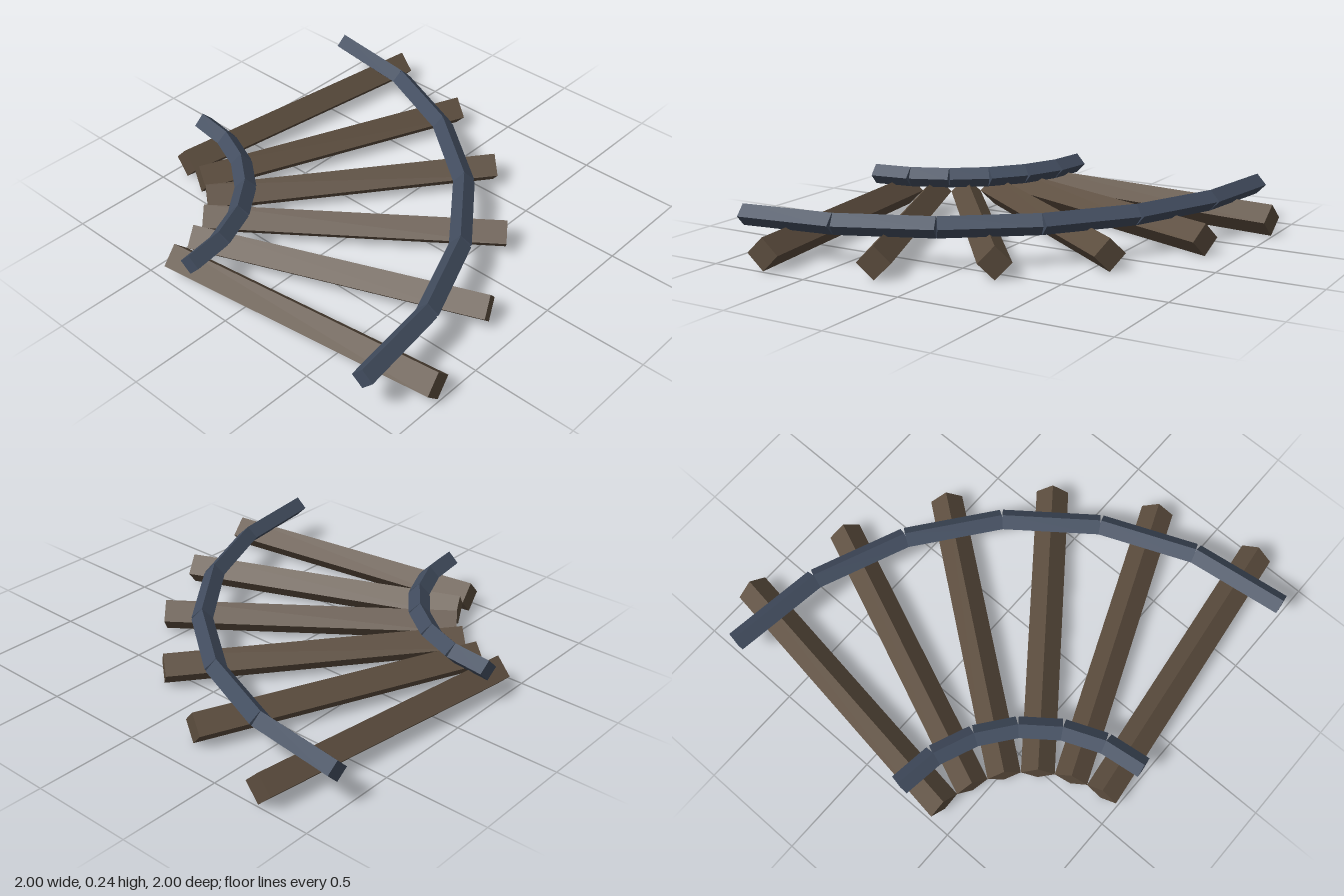
import * as THREE from 'three';

// Quarter-turn curved track: diamond-section ties under two segmented rails
const STEPS = 6;
const STEP = Math.PI / 2 / STEPS;

function bar(name, radius, length, material) {
  const mesh = new THREE.Mesh(new THREE.CylinderGeometry(radius, radius, length, 4), material);
  mesh.name = name;
  return mesh;
}

export function createModel() {
  const wood = new THREE.MeshStandardMaterial({ color: 0x5c4d3e, flatShading: true });
  const steel = new THREE.MeshStandardMaterial({ color: 0x424d5f, flatShading: true });

  const model = new THREE.Group();
  model.name = 'curvedTrack';

  const tieInner = 0.588, tieOuter = 2.0, tieRadius = 0.0775;
  const railRadius = 0.051, railY = 0.191;
  const rails = [['innerRail', 0.77], ['outerRail', 1.79]];

  for (let i = 0; i < STEPS; i++) {
    // Each sector turns about the centre of the curve
    const sector = new THREE.Group();
    sector.name = 'trackSector' + (i + 1);
    sector.position.set(-0.994, 0, 0.994);
    sector.rotation.y = (i + 0.5) * STEP;

    // Radial tie
    const tie = bar('tie', tieRadius, tieOuter - tieInner, wood);
    tie.rotation.z = Math.PI / 2;
    tie.position.set((tieInner + tieOuter) / 2, tieRadius, 0);
    sector.add(tie);

    // Straight rail pieces, tangent to the curve
    for (const [name, r] of rails) {
      const rail = bar(name, railRadius, r * STEP, steel);
      rail.rotation.x = Math.PI / 2;
      rail.position.set(r, railY, 0);
      sector.add(rail);
    }
    model.add(sector);
  }
  return model;
}
